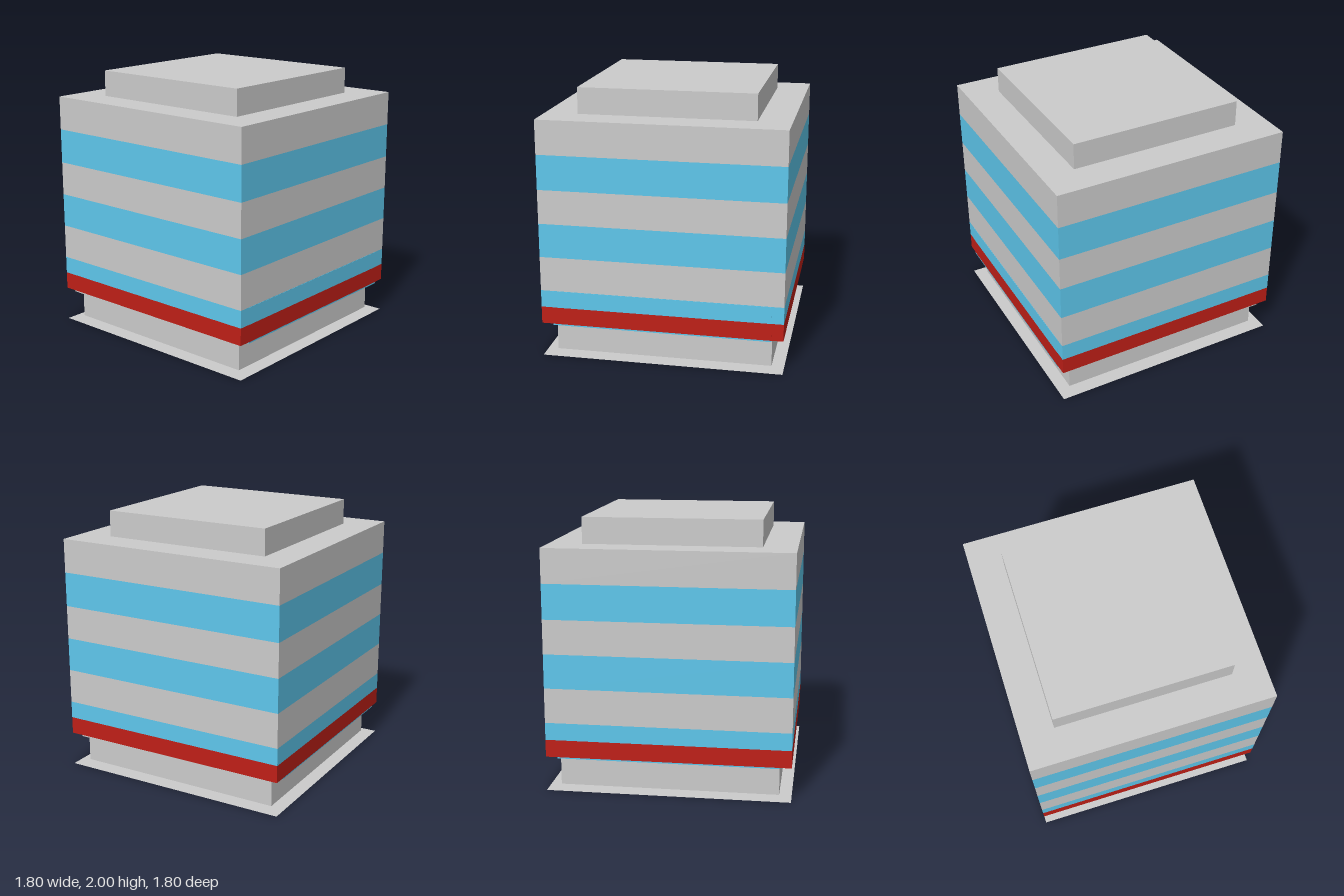
import * as THREE from 'three';

const GREY = 0xcccccc, BLUE = 0x5ec7ec, RED = 0xbf1f17;

function add(parent, name, geometry, color, x, y, z, options = {}) {
  const mesh = new THREE.Mesh(geometry, new THREE.MeshStandardMaterial({ color, ...options }));
  mesh.name = name;
  mesh.position.set(x, y, z);
  parent.add(mesh);
  return mesh;
}

// Box given by its half sizes and its bottom and top heights
function block(parent, name, hx, hz, y0, y1, color, x = 0) {
  return add(parent, name, new THREE.BoxGeometry(2 * hx, y1 - y0, 2 * hz), color, x, (y0 + y1) / 2, 0);
}

// Four walls without floor or ceiling
function wallRing(parent, name, half, y0, y1, color) {
  const r = half * Math.SQRT2;
  const geometry = new THREE.CylinderGeometry(r, r, y1 - y0, 4, 1, true).rotateY(Math.PI / 4);
  return add(parent, name, geometry, color, 0, (y0 + y1) / 2, 0, { flatShading: true });
}

export function createModel() {
  const model = new THREE.Group();
  model.name = 'building';

  // Paper-thin ground plate
  add(model, 'groundPlate', new THREE.PlaneGeometry(1.8, 1.8).rotateX(-Math.PI / 2), GREY, 0, 0, 0,
    { side: THREE.DoubleSide });

  // Recessed ground floor, running up into the body
  block(model, 'groundFloor', 0.81, 0.81, 0.02, 0.52, GREY);

  // Striped body, open underneath
  const body = new THREE.Group();
  body.name = 'body';
  model.add(body);
  const bands = [
    ['awningBand', 0.26, 0.39, RED],
    ['lowerWindowBand', 0.39, 0.52, BLUE],
    ['lowerWallBand', 0.52, 0.78, GREY],
    ['middleWindowBand', 0.78, 1.035, BLUE],
    ['middleWallBand', 1.035, 1.29, GREY],
    ['upperWindowBand', 1.29, 1.55, BLUE],
    ['upperWallBand', 1.55, 1.805, GREY],
  ];
  for (const [name, y0, y1, color] of bands) wallRing(body, name, 0.9, y0, y1, color);
  add(body, 'roof', new THREE.PlaneGeometry(1.8, 1.8).rotateX(-Math.PI / 2), GREY, 0, 1.805, 0);

  // Crossing slabs under the body; the sideways one stands proud on the left
  const slabs = new THREE.Group();
  slabs.name = 'overhangSlabs';
  model.add(slabs);
  block(slabs, 'lengthwiseSlab', 0.81, 0.898, 0.25, 0.515, GREY);
  block(slabs, 'sidewaysSlabLip', 0.9, 0.812, 0.25, 0.26, BLUE, 0.002);
  block(slabs, 'sidewaysSlabAwning', 0.9, 0.812, 0.26, 0.39, RED, 0.002);
  block(slabs, 'sidewaysSlabWindow', 0.9, 0.812, 0.39, 0.518, BLUE, 0.002);

  // Raised block on the roof
  block(model, 'roofBlock', 0.653, 0.653, 1.805, 2, GREY);

  return model;
}
